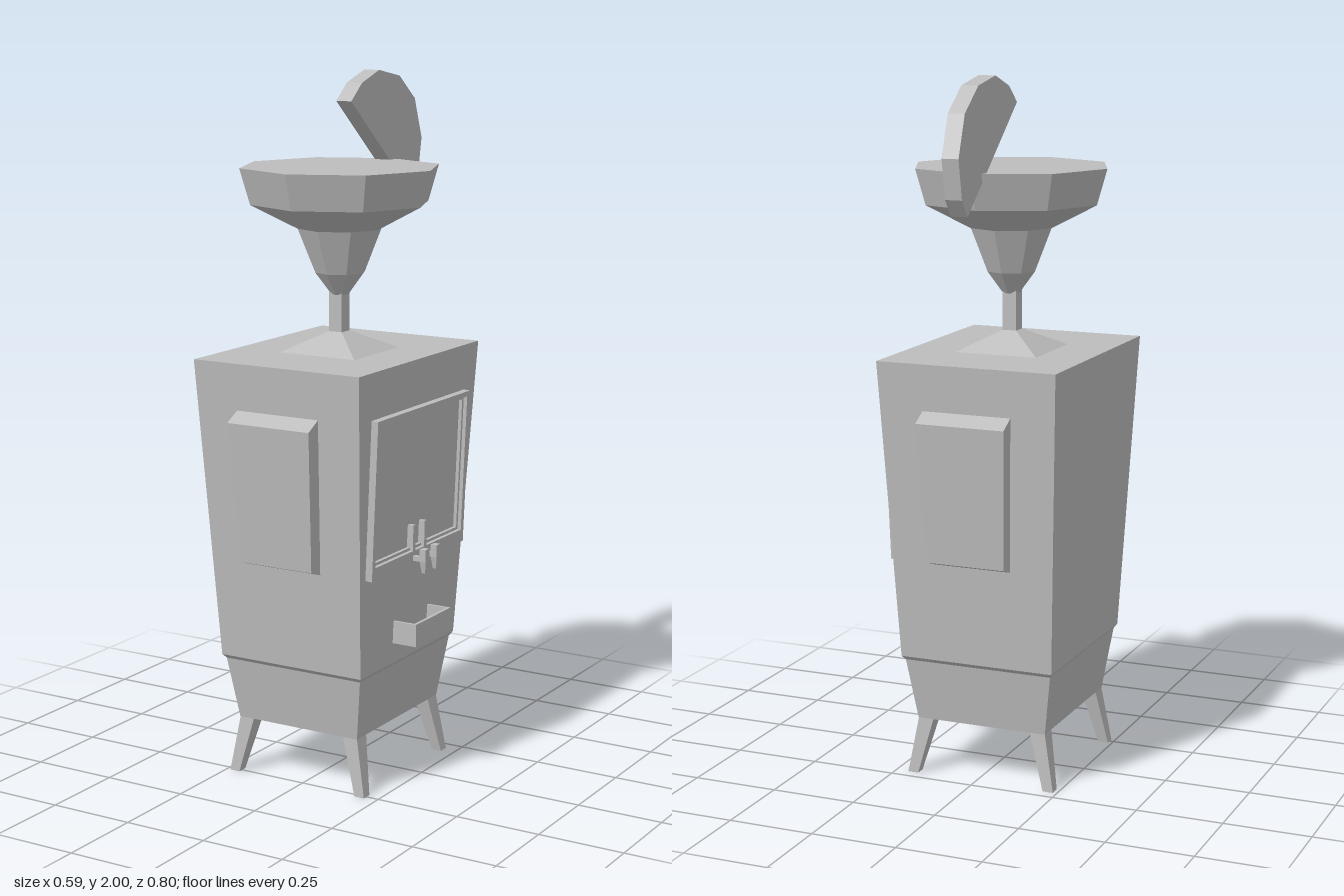
import * as THREE from 'three';

const grey = new THREE.MeshStandardMaterial({ color: 0xbcbcbc, flatShading: true });
grey.name = 'plain grey';

function add(parent, name, geometry) {
  const mesh = new THREE.Mesh(geometry, grey);
  mesh.name = name;
  parent.add(mesh);
  return mesh;
}

// Horizontal rectangle, counter-clockwise seen from above
const rect = (y, x0, x1, z0, z1) => [[x0, y, z1], [x1, y, z1], [x1, y, z0], [x0, y, z0]];
const square = (y, hx, hz) => rect(y, -hx, hx, -hz, hz);

// Closed solid through four-cornered rings, bottom to top
function loft(rings) {
  const p = [];
  const quad = (a, b, c, d) => p.push(...a, ...b, ...c, ...a, ...c, ...d);
  for (let r = 0; r < rings.length - 1; r++) {
    for (let i = 0; i < 4; i++) {
      const j = (i + 1) % 4;
      quad(rings[r][i], rings[r][j], rings[r + 1][j], rings[r + 1][i]);
    }
  }
  const [a, b, c, d] = rings[0];
  quad(d, c, b, a);
  quad(...rings[rings.length - 1]);
  const g = new THREE.BufferGeometry();
  g.setAttribute('position', new THREE.Float32BufferAttribute(p, 3));
  g.computeVertexNormals();
  return g;
}

function box(parent, name, x0, x1, y0, y1, z0, z1) {
  return add(parent, name, loft([rect(y0, x0, x1, z0, z1), rect(y1, x0, x1, z0, z1)]));
}

// Rectangular frame facing +x
function frame(w, y0, y1, hole, depth) {
  const outline = (hw, a, b) => [[-hw, a], [hw, a], [hw, b], [-hw, b]].map(([x, y]) => new THREE.Vector2(x, y));
  const s = new THREE.Shape(outline(w, y0, y1));
  s.holes.push(new THREE.Path(outline(hole[0], hole[1], hole[2]).reverse()));
  return new THREE.ExtrudeGeometry(s, { depth, bevelEnabled: false }).rotateY(Math.PI / 2);
}

export function createModel() {
  const root = new THREE.Group();
  root.name = 'stove';
  const stove = new THREE.Group();
  stove.name = 'stoveAssembly';
  stove.position.set(-0.013, 0, 0.024);
  root.add(stove);

  // Tapered cabinet and base
  add(stove, 'cabinet', loft([
    square(0.165, 0.196, 0.23), square(0.345, 0.222, 0.258),
    square(0.357, 0.23, 0.269), square(1.222, 0.266, 0.339)
  ]));

  // Four splayed legs
  for (const sx of [-1, 1]) for (const sz of [-1, 1]) {
    const ring = (y, xi, xo, zi, zo) => rect(y,
      Math.min(sx * xi, sx * xo), Math.max(sx * xi, sx * xo),
      Math.min(sz * zi, sz * zo), Math.max(sz * zi, sz * zo));
    add(stove, 'leg', loft([ring(0, 0.194, 0.225, 0.21, 0.241), ring(0.168, 0.149, 0.195, 0.178, 0.229)]));
  }

  // Raised panels on both broad sides
  for (const turn of [0, Math.PI]) {
    const panel = add(stove, 'sidePanel', loft([
      [[-0.115, 0.662, 0.339], [0.115, 0.662, 0.339], [0.115, 0.645, 0.29], [-0.115, 0.645, 0.29]],
      [[-0.131, 1.063, 0.377], [0.131, 1.063, 0.377], [0.131, 1.09, 0.327], [-0.131, 1.09, 0.327]]
    ]));
    panel.rotation.y = turn;
  }

  // Door frame lying on the sloped +x side
  const door = new THREE.Group();
  door.name = 'door';
  door.position.set(0.251, 0.865, 0);
  door.rotation.z = -Math.atan(0.036 / 0.865);
  stove.add(door);
  add(door, 'doorFrame', frame(0.263, -0.225, 0.225, [0.247, -0.188, 0.21], 0.021));
  add(door, 'doorTrim', frame(0.247, -0.188, 0.21, [0.238, -0.18, 0.202], 0.01));

  // Pair of door handles
  for (const z of [-0.035, 0.029]) {
    const handle = new THREE.Group();
    handle.name = 'doorHandle';
    handle.position.z = z;
    stove.add(handle);
    box(handle, 'handleSpindle', 0.24, 0.29, 0.648, 0.662, -0.007, 0.007);
    add(handle, 'handleGrip', loft([
      rect(0.615, 0.291, 0.302, -0.005, 0.005), rect(0.65, 0.287, 0.306, -0.011, 0.011),
      rect(0.685, 0.287, 0.306, -0.011, 0.011)
    ]));
    box(handle, 'handleStrip', 0.24, 0.264, 0.67, 0.75, -0.007, 0.007);
  }

  // Open ash tray under the door
  const tray = new THREE.Group();
  tray.name = 'ashTray';
  stove.add(tray);
  box(tray, 'trayFloor', 0.22, 0.308, 0.417, 0.427, -0.108, 0.095);
  box(tray, 'trayFront', 0.298, 0.308, 0.427, 0.482, -0.108, 0.095);
  box(tray, 'traySide', 0.22, 0.298, 0.427, 0.482, -0.108, -0.1);
  box(tray, 'traySide', 0.22, 0.298, 0.427, 0.482, 0.087, 0.095);

  // Flared collar and square flue
  add(stove, 'flue', loft([
    square(1.221, 0.124, 0.124), square(1.277, 0.021, 0.022), square(1.39, 0.021, 0.022)
  ]));

  // Eight-sided closed bowl
  const profile = [[0, 1.382], [0.025, 1.382], [0.072, 1.445], [0.122, 1.57], [0.257, 1.64], [0.287, 1.742], [0, 1.742]];
  const bowl = add(stove, 'bowl', new THREE.LatheGeometry(profile.map(([r, y]) => new THREE.Vector2(r, y)), 8));
  bowl.position.x = 0.003;

  // Tilted half-round fin standing on the bowl's rim
  const fin = new THREE.Shape([[0, 1.92], [0.344, 1.635], [0.381, 1.683], [0.402, 1.794], [0.36, 1.91],
    [0.27, 1.979], [0.153, 2], [0.058, 1.968]].map(([x, y]) => new THREE.Vector2(x, y)));
  const finMesh = add(root, 'halfRoundFin',
    new THREE.ExtrudeGeometry(fin, { depth: 0.049, bevelEnabled: false }).rotateY(Math.PI / 2));
  finMesh.position.x = -0.037;

  return root;
}
